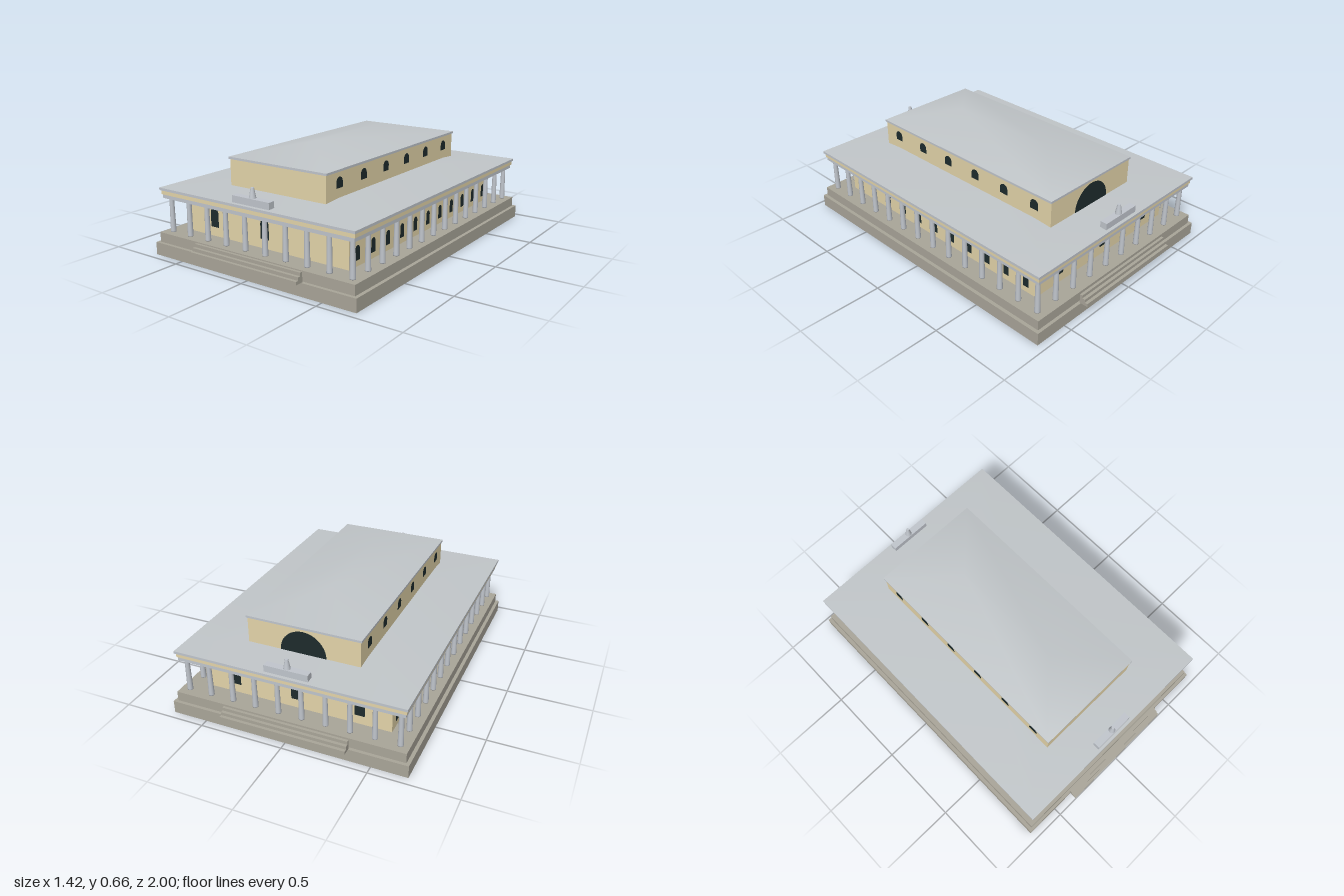
import * as THREE from 'three';

const mat = (name, color) => Object.assign(new THREE.MeshStandardMaterial({ color }), { name });

export function createModel() {
  const root = new THREE.Group();
  root.name = 'templeHall';
  const stone = mat('baseStone', 0xa9a599);
  stone.side = THREE.DoubleSide;
  const tan = mat('sandstoneWall', 0xe3d4a9);
  const marble = mat('paleMarble', 0xc0c5cc);
  const roofGrey = mat('roofGrey', 0xc1c6c9);
  const dark = mat('darkOpening', 0x1d2b2c);

  const add = (name, geometry, material, x = 0, y = 0, z = 0, parent = root) => {
    const mesh = new THREE.Mesh(geometry, material);
    mesh.name = name;
    mesh.position.set(x, y, z);
    parent.add(mesh);
    return mesh;
  };
  // Box given by half width, half depth and its bottom and top heights
  const slab = (name, material, hx, hz, y0, y1, z = 0) =>
    add(name, new THREE.BoxGeometry(hx * 2, y1 - y0, hz * 2), material, 0, (y0 + y1) / 2, z);

  // Hip roof of equal pitch with softly shaded slopes
  const hipRoof = (name, hx, hz, y0, y1) => {
    const r = hz - hx;
    const g = new THREE.BufferGeometry();
    g.setAttribute('position', new THREE.Float32BufferAttribute([
      -hx, y0, hz, hx, y0, hz, hx, y0, -hz, -hx, y0, -hz, 0, y1, r, 0, y1, -r], 3));
    g.setIndex([0, 1, 4, 1, 2, 4, 2, 5, 4, 2, 3, 5, 3, 0, 5, 0, 4, 5]);
    g.computeVertexNormals();
    add(name, g, roofGrey);
  };

  // Flat arched panel, its foot at the origin and facing +z
  const archPanel = (w, h) => {
    const r = w / 2;
    const s = new THREE.Shape();
    s.moveTo(-r, 0);
    s.lineTo(r, 0);
    s.lineTo(r, h - r);
    s.absarc(0, h - r, r, 0, Math.PI, false);
    s.closePath();
    return new THREE.ShapeGeometry(s, 12);
  };

  // Stepped platform, the lower tier open underneath
  const lowerBase = slab('lowerBase', stone, 0.71, 0.953, 0, 0.076).geometry;
  const faces = Array.from(lowerBase.index.array);
  faces.splice(18, 6);
  lowerBase.setIndex(faces);
  lowerBase.clearGroups();
  slab('upperBase', stone, 0.69, 0.935, 0.077, 0.136);
  // Entrance steps, standing just clear of the platform
  const stepBack = 0.948;
  for (const side of [1, -1]) {
    for (let i = 0; i < 3; i++) {
      const outer = 1 - i * 0.018;
      slab('entranceStep', stone, 0.375, (outer - stepBack) / 2,
        0.079 + i * 0.019, 0.098 + i * 0.019, side * (outer + stepBack) / 2);
    }
  }

  // Main hall and entablature
  slab('hallWalls', tan, 0.56, 0.8, 0.136, 0.342);
  slab('architrave', marble, 0.67, 0.914, 0.341, 0.364);
  slab('frieze', tan, 0.676, 0.919, 0.364, 0.389);
  slab('cornice', marble, 0.684, 0.927, 0.389, 0.404);
  hipRoof('lowerRoof', 0.684, 0.927, 0.404, 0.455);

  // Upper storey
  slab('upperWalls', tan, 0.338, 0.695, 0.4, 0.575);
  slab('upperCornice', marble, 0.345, 0.7, 0.575, 0.588);
  hipRoof('upperRoof', 0.345, 0.7, 0.588, 0.662);

  // Colonnade
  const columnProfile = [[0, 0], [0.0165, 0], [0.0165, 0.004],
    [0.0135, 0.196], [0.017, 0.199], [0.017, 0.206], [0, 0.206]]
    .map(([r, y]) => new THREE.Vector2(r, y));
  const columnGeometry = new THREE.LatheGeometry(columnProfile, 14);
  const colonnade = new THREE.Group();
  colonnade.name = 'colonnade';
  root.add(colonnade);
  const column = (x, z) => add('column', columnGeometry, marble, x, 0.136, z, colonnade);
  for (const side of [1, -1]) {
    for (let i = 0; i < 10; i++) column(-0.637 + i * 0.1416, side * 0.88);
    for (let i = 1; i < 13; i++) column(side * 0.637, -0.88 + i * 0.1354);
  }

  // Arched openings on the long sides
  const sideWindow = archPanel(0.04, 0.082);
  const upperWindow = archPanel(0.058, 0.062);
  for (const side of [1, -1]) {
    const turn = side * Math.PI / 2;
    for (let i = -5; i <= 5; i++)
      add('sideWindow', sideWindow, dark, side * 0.5615, 0.17, i * 0.1455).rotation.y = turn;
    for (let i = 0; i < 6; i++)
      add('upperWindow', upperWindow, dark, side * 0.3395, 0.484, -0.575 + i * 0.23).rotation.y = turn;
  }

  // Arched openings on the ends
  const endOpening = archPanel(0.06, 0.114);
  for (const x of [-0.375, 0]) add('frontOpening', endOpening, dark, x, 0.19, 0.8015);
  for (const x of [-0.375, 0, 0.375])
    add('backOpening', endOpening, dark, x, 0.19, -0.8015).rotation.y = Math.PI;
  add('backLunette', archPanel(0.276, 0.139), dark, 0, 0.421, -0.6965).rotation.y = Math.PI;

  // Parapet blocks with tapered finials over both ends
  const finial = new THREE.CylinderGeometry(0.009, 0.02, 0.058, 14);
  for (const side of [1, -1]) {
    slab('parapetBlock', marble, 0.13, 0.021, 0.403, 0.445, side * 0.887);
    add('finial', finial, marble, 0, 0.474, side * 0.887);
  }
  return root;
}
